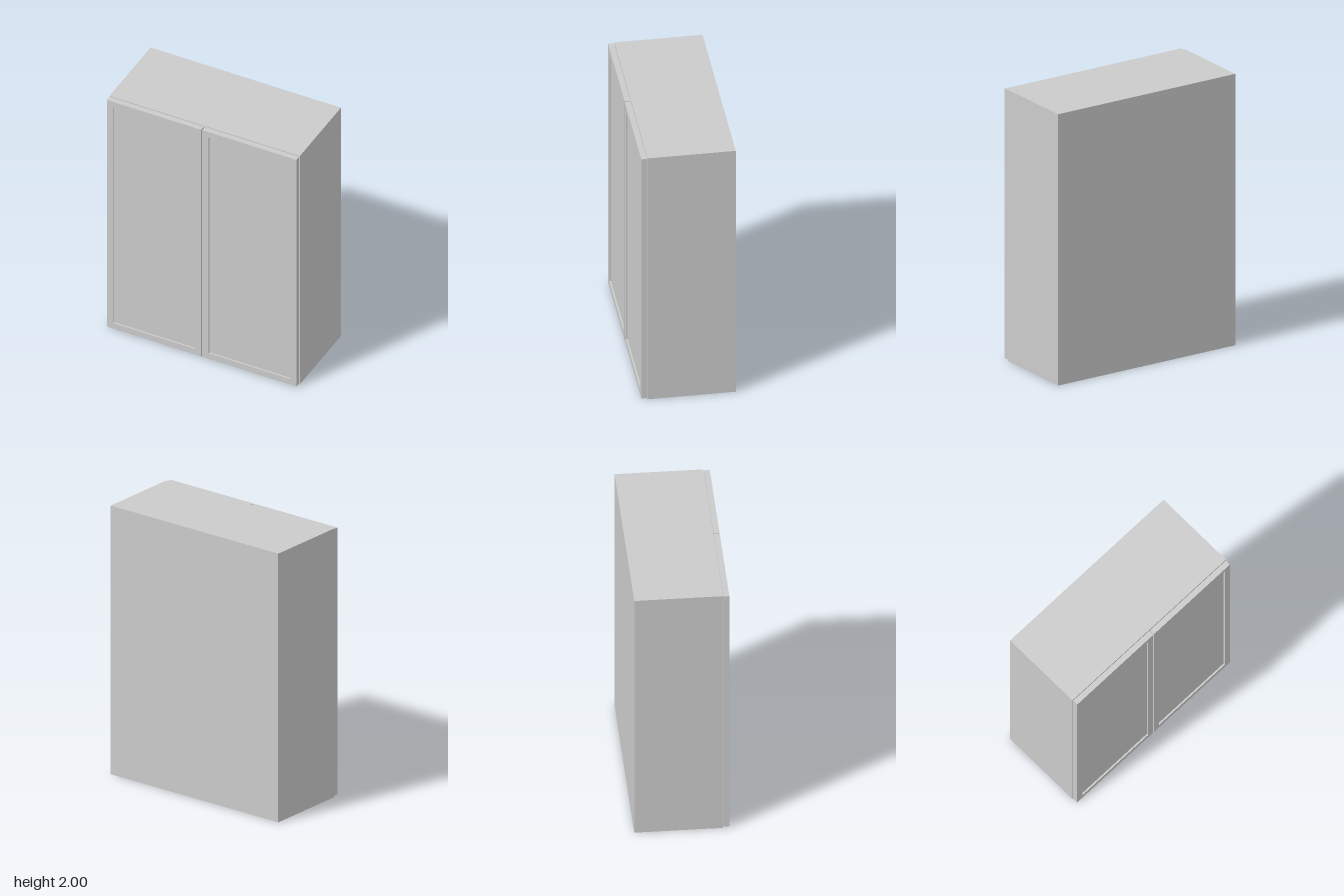
import * as THREE from 'three';

const W = 1.49, H = 2, BACK = -0.332, FRONT = 0.288, T = 0.037;
const DOOR_FRONT = 0.332, DOOR_BACK = 0.291;

export function createModel() {
  const cabinet = new THREE.Group();
  cabinet.name = 'wallCabinet';
  const material = new THREE.MeshStandardMaterial({ color: 0xcccccc });

  const add = (parent, name, geometry) => {
    const mesh = new THREE.Mesh(geometry, material);
    mesh.name = name;
    parent.add(mesh);
    return mesh;
  };

  // Box given by its lower and upper corners
  const box = (parent, name, [x0, y0, z0], [x1, y1, z1]) =>
    add(parent, name, new THREE.BoxGeometry(x1 - x0, y1 - y0, z1 - z0))
      .position.set((x0 + x1) / 2, (y0 + y1) / 2, (z0 + z1) / 2);

  // Carcass: sides, horizontal boards and a thin back
  const half = W / 2, inner = half - T, inside = BACK + 0.008;
  box(cabinet, 'leftSide', [inner, 0, inside], [half, H, FRONT]);
  box(cabinet, 'rightSide', [-half, 0, inside], [-inner, H, FRONT]);
  box(cabinet, 'backPanel', [-half, 0, BACK], [half, H, inside]);
  for (const [name, y] of [['bottomBoard', 0], ['shelf', 0.985], ['topBoard', H - T]])
    box(cabinet, name, [-inner, y, inside], [inner, y + T, FRONT]);

  const rectangle = (Type, x0, y0, x1, y1) => {
    const path = new Type();
    path.moveTo(x0, y0);
    path.lineTo(x1, y0);
    path.lineTo(x1, y1);
    path.lineTo(x0, y1);
    path.closePath();
    return path;
  };

  // Doors: a narrow frame around a slightly recessed panel
  const x0 = 0.004, x1 = 0.741, y0 = 0.008, y1 = 1.994, rim = 0.049;
  for (const [name, shift] of [['leftDoor', 0], ['rightDoor', -x0 - x1]]) {
    const door = new THREE.Group();
    door.name = name;
    door.position.x = shift;
    const outline = rectangle(THREE.Shape, x0, y0, x1, y1);
    outline.holes.push(rectangle(THREE.Path, x0 + rim, y0 + rim, x1 - rim, y1 - rim));
    add(door, 'doorFrame', new THREE.ExtrudeGeometry(outline, {
      depth: DOOR_FRONT - DOOR_BACK, bevelEnabled: false,
    })).position.z = DOOR_BACK;
    box(door, 'doorPanel', [x0 + rim, y0 + rim, DOOR_BACK], [x1 - rim, y1 - rim, DOOR_FRONT - 0.012]);
    cabinet.add(door);
  }
  return cabinet;
}
